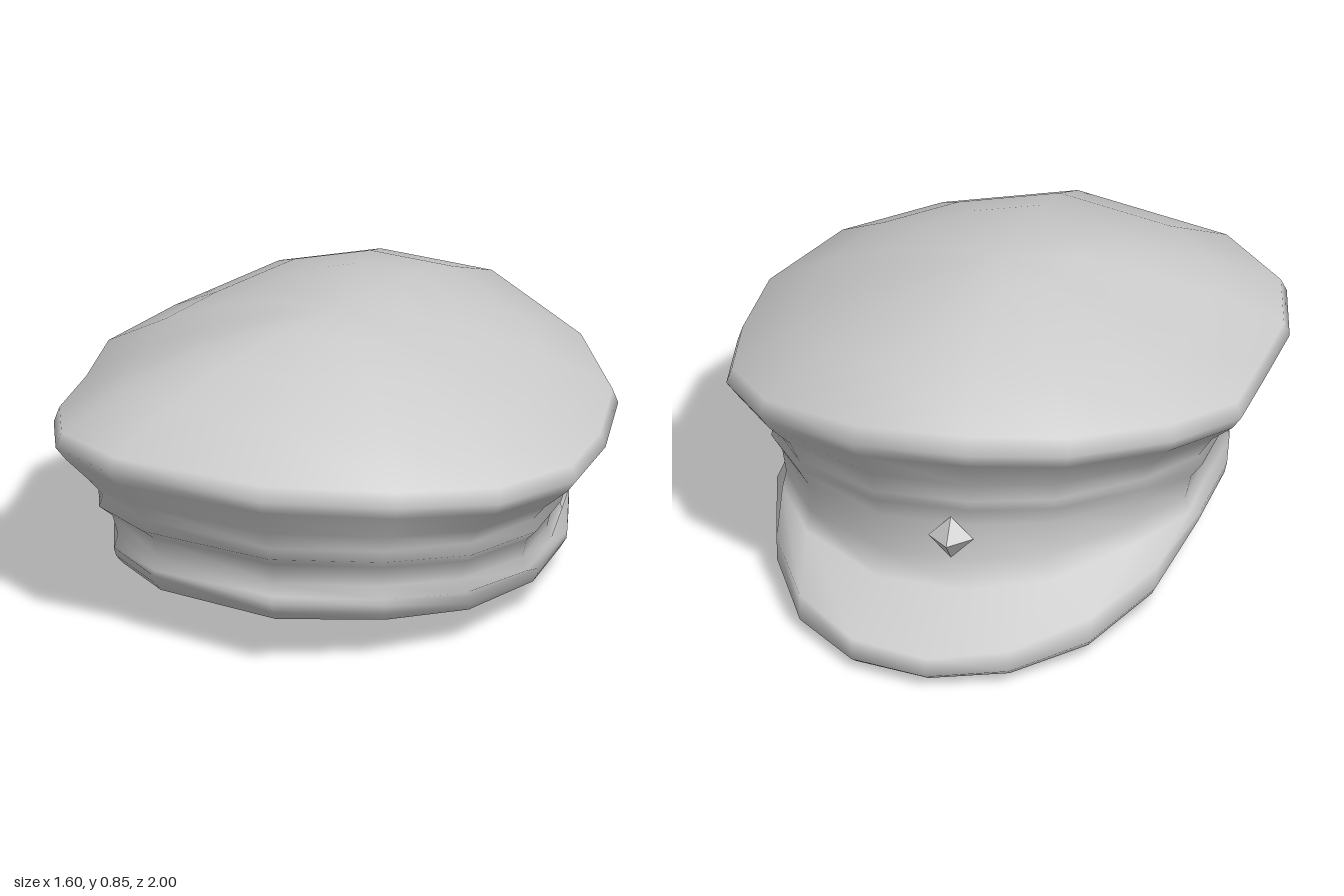
import * as THREE from 'three';
import { mergeVertices } from 'three/addons/utils/BufferGeometryUtils.js';

// Plan outline of the crown and band (x, z), clockwise seen from above
const CROWN = [
  [-0.07, -0.77], [0.28, -0.73], [0.61, -0.48], [0.77, -0.2], [0.8, 0.1],
  [0.78, 0.4], [0.62, 0.7], [0.35, 0.88], [-0.04, 0.99], [-0.53, 0.83],
  [-0.74, 0.62], [-0.8, 0.38], [-0.78, 0.1], [-0.77, -0.16], [-0.62, -0.4], [-0.36, -0.67],
].map(([x, z]) => [x / 0.8, (z - 0.11) / 0.88]);

// Lower edge: same outline in front, a rounder peak behind
const BRIM = CROWN.map(([u, v], i) => {
  const a = (i / CROWN.length) * Math.PI * 2;
  return v > -0.1 ? [u, v] : [0.96 * Math.sin(a), -Math.cos(a)];
});

const parabola = (t) => t * t;
const ease = (t) => Math.sin((t * Math.PI) / 2);

// Ring: half width, front z, back z, then heights at front, side and back
function ring(outline, w, zf, zb, yf, ys, yb, backCurve = parabola) {
  return outline.map(([u, v]) => {
    const y = v > 0 ? ys + (yf - ys) * v * v : ys + (yb - ys) * backCurve(-v);
    const x = u * w;
    return [x, y - 0.025 * x, (zf + zb) / 2 + (v * (zf - zb)) / 2];
  });
}

// Smooth skin through rings listed from top to bottom
function loft(name, rings, material) {
  const n = CROWN.length;
  const index = [];
  for (let i = 0; i < rings.length - 1; i++) {
    for (let j = 0; j < n; j++) {
      const a = i * n + j, b = i * n + ((j + 1) % n);
      index.push(a, b, a + n, b, b + n, a + n);
    }
  }
  let geometry = new THREE.BufferGeometry();
  geometry.setAttribute('position', new THREE.Float32BufferAttribute(rings.flat(2), 3));
  geometry.setIndex(index);
  geometry = mergeVertices(geometry, 1e-4);
  geometry.computeVertexNormals();
  const mesh = new THREE.Mesh(geometry, material);
  mesh.name = name;
  return mesh;
}

export function createModel() {
  const group = new THREE.Group();
  group.name = 'peakedCap';
  const cloth = new THREE.MeshStandardMaterial({ color: 0xcccccc, side: THREE.DoubleSide });
  cloth.name = 'light grey';

  // Domed crown, flatter towards the back
  const top = 0.85;
  const crown = [0, 0.25, 0.5, 0.75, 1].map((r) => ring(
    CROWN, 0.785 * r, 0.12 + 0.85 * r, 0.12 - 0.85 * r,
    top - 0.225 * r ** 2.1, top - 0.3 * r ** 1.8, top - 0.15 * r ** 2.7,
  ));

  // Rim and the flare tucked under it
  const flare = [
    ring(CROWN, 0.8, 1.0, -0.76, 0.585, 0.505, 0.65),
    ring(CROWN, 0.77, 0.97, -0.73, 0.54, 0.465, 0.6),
    ring(CROWN, 0.7, 0.93, -0.66, 0.46, 0.41, 0.5),
  ];

  // Folded head band
  const band = [
    ring(CROWN, 0.66, 0.9, -0.67, 0.4, 0.36, 0.45),
    ring(CROWN, 0.67, 0.91, -0.65, 0.37, 0.325, 0.41),
    ring(CROWN, 0.635, 0.86, -0.63, 0.335, 0.285, 0.35),
    ring(CROWN, 0.62, 0.85, -0.64, 0.27, 0.225, 0.24),
    ring(CROWN, 0.63, 0.865, -0.66, 0.235, 0.18, 0.15),
  ];

  // Lower edge running out into the peak
  const lip = ring(BRIM, 0.625, 0.83, -0.95, 0.15, 0.1, 0.005, ease);
  const peak = [
    ring(BRIM, 0.645, 0.88, -0.985, 0.215, 0.15, 0.085),
    ring(BRIM, 0.64, 0.87, -1.0, 0.185, 0.125, 0.035, ease),
    lip,
  ];
  group.add(loft('capShell', [...crown, ...flare, ...band, ...peak], cloth));

  // Closed underside
  const centre = ring(BRIM, 0, -0.05, -0.05, 0.08, 0.08, 0.08);
  group.add(loft('underside', [lip, centre], cloth));

  // Small faceted badge above the peak
  const badge = new THREE.Mesh(new THREE.OctahedronGeometry(0.068), cloth);
  badge.name = 'badge';
  badge.position.set(0, 0.31, -0.635);
  group.add(badge);

  return group;
}
